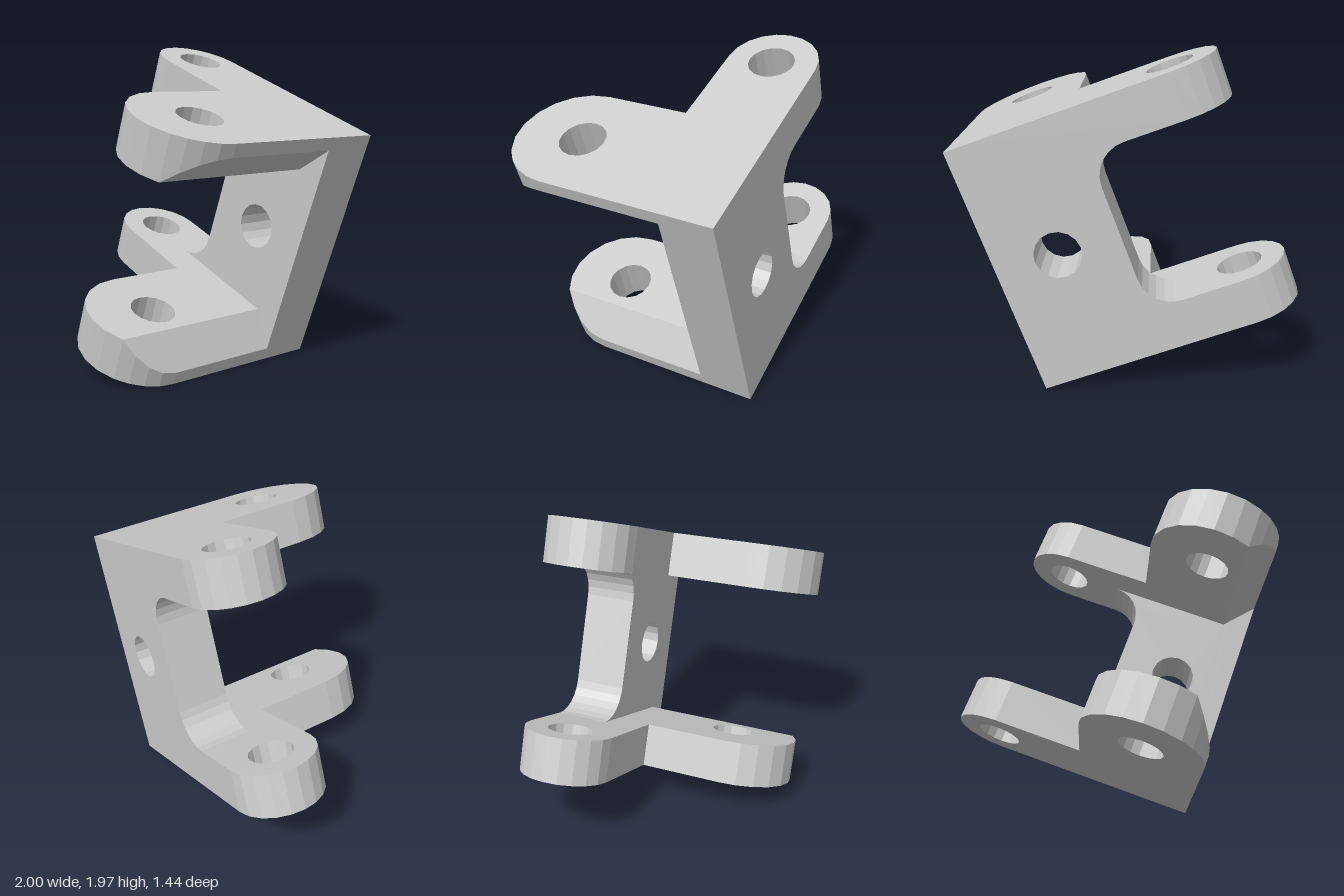
import * as THREE from 'three';

const H = 1.52;            // height along the back edge
const T = 0.272;           // arm thickness
const BACK = 0.718;        // depth of the back face
const PLATE = 0.33;        // back plate thickness
const LEG = 0.743;         // width of the forward leg
const CUT = 0.164;         // width of the chamfered strip
const LIP = 0.08;          // arm thickness left at the chamfered edge
const HOLE = 0.138;

const V = (x, y) => new THREE.Vector2(x, y);

// Points on an arc, angles in degrees
function arc(cx, cy, r, from, to, n) {
  return Array.from({ length: n + 1 }, (_, i) => {
    const a = THREE.MathUtils.degToRad(from + (to - from) * i / n);
    return V(cx + r * Math.cos(a), cy + r * Math.sin(a));
  });
}

function extrude(points, holes, depth) {
  const shape = new THREE.Shape(points);
  for (const [x, y] of holes) shape.holes.push(new THREE.Path(arc(x, y, HOLE, 0, 337.5, 15)));
  return new THREE.ExtrudeGeometry(shape, { depth, bevelEnabled: false });
}

export function createModel() {
  const material = new THREE.MeshStandardMaterial({ color: 0xcccccc, flatShading: true });
  const bracket = new THREE.Group();
  bracket.name = 'bracket';
  const add = (name, geometry) => {
    const mesh = new THREE.Mesh(geometry, material);
    mesh.name = name;
    bracket.add(mesh);
  };

  // Plan of the L-shaped arm, drawn with the back upwards
  const r = LEG / 2, cy = r - BACK;
  const cutAngle = 360 - THREE.MathUtils.radToDeg(Math.acos((r - CUT) / r));
  const armPlan = [
    V(-CUT, BACK),
    ...arc(-1.302, BACK - 0.275, 0.275, 90, 270, 10),
    V(-LEG, BACK - 0.55),
    ...arc(-r, cy, r, 180, cutAngle, 7),
  ];
  const stripPlan = [
    V(-CUT, BACK - PLATE),
    ...arc(-r, cy, r, cutAngle, 360, 4),
    V(0, BACK - PLATE),
  ];

  for (const upper of [false, true]) {
    const side = upper ? 'upper' : 'lower';
    const y0 = upper ? H - T : 0;

    // Arm with its two pin holes
    const arm = extrude(armPlan, [[-1.302, BACK - 0.275], [-r, -0.297]], T);
    arm.rotateX(-Math.PI / 2).translate(0, y0, 0);
    add(side + 'Arm', arm);

    // Outer strip, its inner face sloped towards the edge
    const strip = extrude(stripPlan, [], T);
    strip.rotateX(-Math.PI / 2);
    const p = strip.attributes.position;
    for (let i = 0; i < p.count; i++) {
      const drop = (T - LIP) * (1 + p.getX(i) / CUT);
      const inner = upper ? p.getY(i) < T / 2 : p.getY(i) > T / 2;
      if (inner) p.setY(i, upper ? drop : T - drop);
    }
    strip.translate(0, y0, 0);
    strip.computeVertexNormals();
    add(side + 'ArmChamfer', strip);
  }

  // Back plate with filleted inner corners and a central hole
  const f = 0.2;
  const plate = extrude([
    V(0, 0), V(0, H), V(-CUT, H), V(-CUT, H - T),
    ...arc(-LEG - f, H - T - f, f, 90, 0, 6),
    ...arc(-LEG - f, T + f, f, 0, -90, 6),
    V(-CUT, T), V(-CUT, 0),
  ], [[-r, H / 2]], PLATE);
  plate.translate(0, 0, -BACK);
  add('backPlate', plate);

  // Lean the whole bracket, resting on its lower back corner
  bracket.rotation.z = THREE.MathUtils.degToRad(-20);
  bracket.position.set(0.481, 0, 0);
  const model = new THREE.Group();
  model.name = 'model';
  model.add(bracket);
  return model;
}
